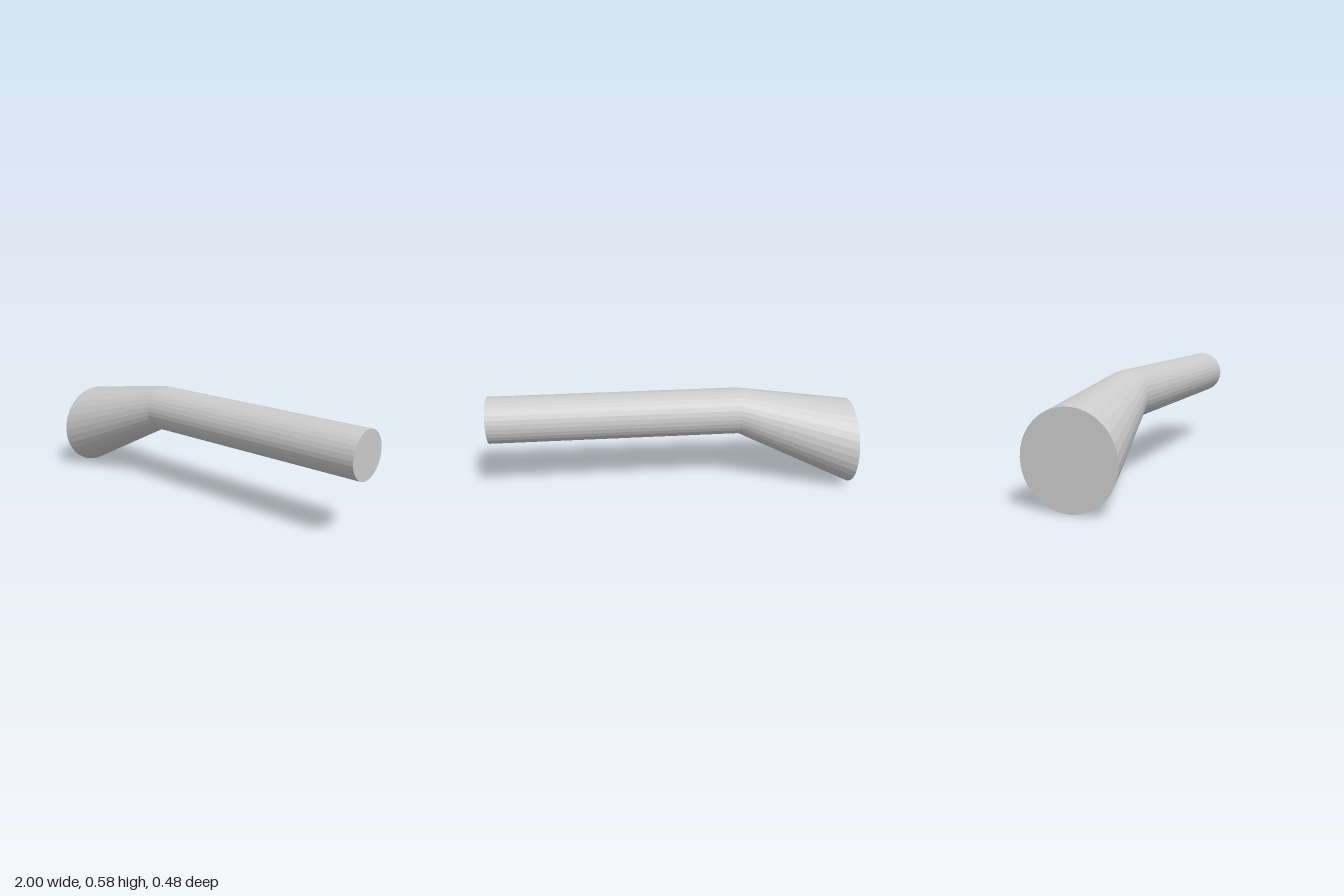
import * as THREE from 'three';

const SIDES = 32;
const material = new THREE.MeshStandardMaterial({ color: 0xcccccc, flatShading: true });

// Ring stations along x: centre height and radius
const flareEnd = { x: -1, y: 0.239, r: 0.239 };
const bend = { x: -0.36, y: 0.45, r: 0.127 };
const tubeEnd = { x: 1, y: 0.45, r: 0.127 };

// Open pipe wall between two upright rings, sheared so the rings stay parallel
function pipe(name, a, b) {
  const length = b.x - a.x;
  const geometry = new THREE.CylinderGeometry(b.r, a.r, length, SIDES, 1, true);
  geometry.rotateZ(-Math.PI / 2);
  const slope = (b.y - a.y) / length;
  geometry.applyMatrix4(new THREE.Matrix4().set(
    1, 0, 0, (a.x + b.x) / 2,
    slope, 1, 0, (a.y + b.y) / 2,
    0, 0, 1, 0,
    0, 0, 0, 1
  ));
  geometry.computeVertexNormals();
  const mesh = new THREE.Mesh(geometry, material);
  mesh.name = name;
  return mesh;
}

// Flat disc closing an end; side is +1 to face +x, -1 to face -x
function cap(name, ring, side) {
  const geometry = new THREE.CircleGeometry(ring.r, SIDES);
  geometry.rotateY(side * Math.PI / 2);
  const mesh = new THREE.Mesh(geometry, material);
  mesh.position.set(ring.x, ring.y, 0);
  mesh.name = name;
  return mesh;
}

export function createModel() {
  const group = new THREE.Group();
  group.name = 'bentFlaredPipe';
  group.add(
    pipe('flaredSection', flareEnd, bend),
    pipe('straightTube', bend, tubeEnd),
    cap('flareCap', flareEnd, -1),
    cap('tubeCap', tubeEnd, 1)
  );
  return group;
}
